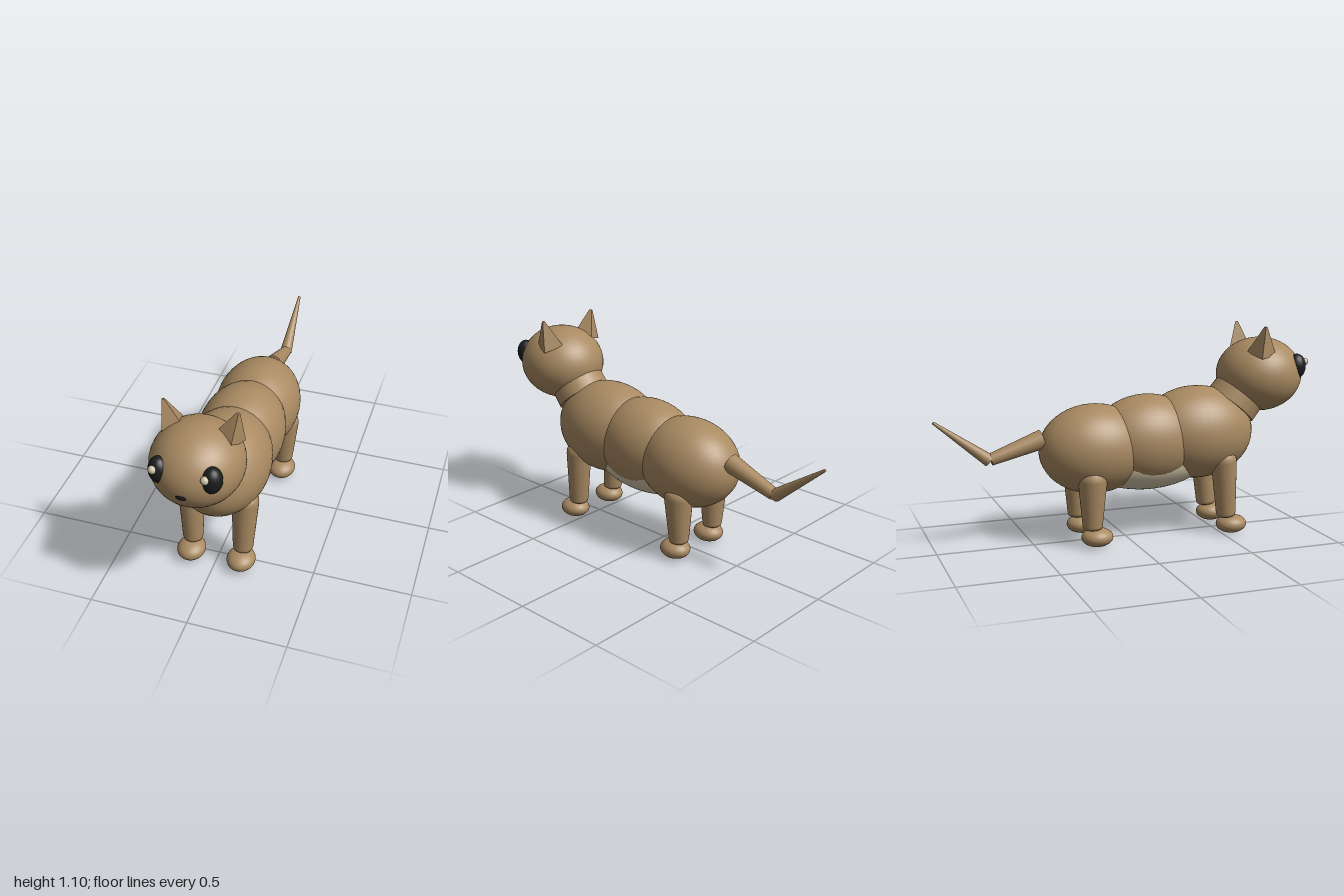
import * as THREE from 'three';

const material = (name, color) => {
  const m = new THREE.MeshStandardMaterial({ color });
  m.name = name;
  return m;
};

export function createModel() {
  const model = new THREE.Group();
  model.name = 'cat';
  const fur = material('tan fur', 0xa98a62);
  const cream = material('cream', 0xd0c4a8);
  const dark = material('near black', 0x1c1c1c);

  const add = (name, geometry, mat) => {
    const mesh = new THREE.Mesh(geometry, mat);
    mesh.name = name;
    model.add(mesh);
    return mesh;
  };
  const ellipsoid = (name, [x, y, z], [rx, ry, rz], mat = fur, segments = 40) => {
    const geometry = new THREE.SphereGeometry(1, segments, segments * 0.6);
    geometry.scale(rx, ry, rz);
    const mesh = add(name, geometry, mat);
    mesh.position.set(x, y, z);
    return mesh;
  };
  // Place a y-aligned mesh so that its axis runs from a to b
  const align = (mesh, a, b) => {
    mesh.position.copy(a).add(b).multiplyScalar(0.5);
    mesh.quaternion.setFromUnitVectors(new THREE.Vector3(0, 1, 0), b.clone().sub(a).normalize());
    return mesh;
  };
  const taper = (name, from, to, rFrom, rTo) => {
    const a = new THREE.Vector3(...from), b = new THREE.Vector3(...to);
    return align(add(name, new THREE.CylinderGeometry(rTo, rFrom, a.distanceTo(b), 24), fur), a, b);
  };

  // Body
  ellipsoid('chest', [0, 0.538, 0.4], [0.233, 0.247, 0.312]);
  ellipsoid('midsection', [0, 0.515, 0.12], [0.222, 0.24, 0.3]);
  ellipsoid('rump', [0, 0.487, -0.17], [0.222, 0.233, 0.292]);
  ellipsoid('belly', [0, 0.42, 0.12], [0.18, 0.17, 0.35], cream);

  // Neck and head
  taper('neck', [0, 0.67, 0.6], [0, 0.81, 0.715], 0.147, 0.142);
  ellipsoid('head', [0, 0.832, 0.766], [0.221, 0.198, 0.232]);
  ellipsoid('nose', [0, 0.8, 0.983], [0.032, 0.019, 0.017], dark, 20);

  // Tail, in two straight tapered pieces
  taper('tailBase', [0, 0.555, -0.445], [0, 0.468, -0.715], 0.05, 0.031);
  taper('tailTip', [0, 0.465, -0.722], [0, 0.674, -0.996], 0.033, 0.007);

  // Tapered leg with rounded ends
  const leg = (name, from, to, rTop, rBottom) => {
    const a = new THREE.Vector3(...from), b = new THREE.Vector3(...to);
    const h = a.distanceTo(b) / 2;
    const profile = [
      [0, -h], [rBottom * 0.75, -h], [rBottom * 0.93, -h + 0.006], [rBottom, -h + 0.02],
      [rTop, h - 0.055], [rTop * 0.96, h - 0.032], [rTop * 0.82, h - 0.014], [rTop * 0.55, h - 0.003], [0, h],
    ].map(([r, y]) => new THREE.Vector2(r, y));
    align(add(name, new THREE.LatheGeometry(profile, 28), fur), a, b);
  };

  for (const s of [-1, 1]) {
    const side = s > 0 ? 'left' : 'right';

    leg(`${side}FrontLeg`, [s * 0.133, 0.095, 0.525], [s * 0.142, 0.45, 0.5], 0.068, 0.052);
    leg(`${side}BackLeg`, [s * 0.133, 0.095, -0.223], [s * 0.138, 0.405, -0.223], 0.075, 0.052);
    ellipsoid(`${side}FrontPaw`, [s * 0.133, 0.05, 0.556], [0.073, 0.049, 0.083], fur, 28);
    ellipsoid(`${side}BackPaw`, [s * 0.133, 0.05, -0.198], [0.073, 0.049, 0.083], fur, 28);

    // Four-sided ear, leaning outwards
    const earGeometry = new THREE.CylinderGeometry(0.009, 0.077, 0.15, 4, 1).toNonIndexed();
    earGeometry.rotateY(s * 0.38);
    earGeometry.computeVertexNormals();
    const ear = add(`${side}Ear`, earGeometry, fur);
    ear.position.set(s * 0.154, 1.028, 0.713);
    ear.rotation.z = -s * 0.29;

    // Eye with a highlight
    const eye = ellipsoid(`${side}Eye`, [s * 0.122, 0.879, 0.927], [0.05, 0.068, 0.05], dark, 28);
    eye.rotation.z = -s * 0.08;
    ellipsoid(`${side}EyeHighlight`, [s * 0.121 - 0.016, 0.905, 0.967], [0.02, 0.02, 0.02], cream, 16);
  }
  return model;
}
